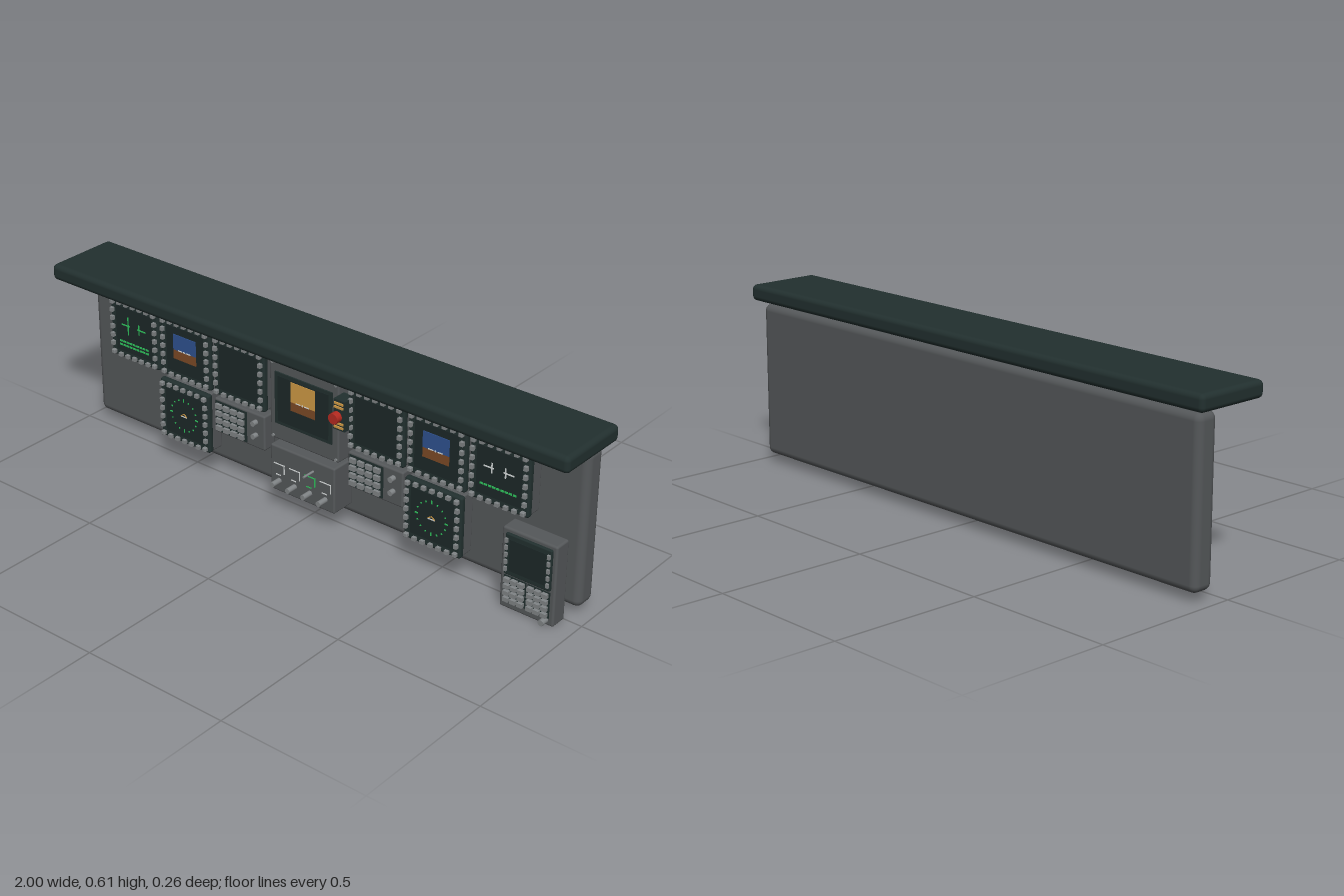
import * as THREE from 'three';
import { RoundedBoxGeometry } from 'three/addons/geometries/RoundedBoxGeometry.js';

const mat = (name, color) => Object.assign(new THREE.MeshStandardMaterial({ color }), { name });
const M = {
  gray: mat('panel gray', 0x55585a),
  dark: mat('bezel black green', 0x22302f),
  screen: mat('screen glass', 0x1c2828),
  light: mat('button gray', 0x808486),
  white: mat('symbol white', 0xd4d8d8),
  green: mat('display green', 0x2fc45c),
  blue: mat('sky blue', 0x2f5290),
  brown: mat('ground brown', 0x7c4a26),
  amber: mat('amber', 0xd09a45),
  red: mat('warning red', 0xb42a20),
};

function add(parent, name, geo, m, x, y, z) {
  const mesh = new THREE.Mesh(geo, m);
  mesh.name = name;
  mesh.position.set(x, y, z);
  parent.add(mesh);
  return mesh;
}
const box = (p, name, m, w, h, d, x, y, z) => add(p, name, new THREE.BoxGeometry(w, h, d), m, x, y, z);
const rbox = (p, name, m, w, h, d, x, y, z, r) =>
  add(p, name, new RoundedBoxGeometry(w, h, d, 3, r), m, x, y, z);
// knob with its axis along z
function knob(p, name, m, r, depth, x, y, z) {
  const k = add(p, name, new THREE.CylinderGeometry(r, r, depth, 16), m, x, y, z);
  k.rotation.x = Math.PI / 2;
  return k;
}
function group(parent, name, x, y, z) {
  const g = new THREE.Group();
  g.name = name;
  g.position.set(x, y, z);
  parent.add(g);
  return g;
}

// square display: gray housing, dark bezel, glass and a rim of buttons; z = 0 is the bezel face
function display(parent, name, x, y, z) {
  const g = group(parent, name, x, y, z);
  rbox(g, 'housing', M.gray, 0.2, 0.21, 0.047, 0, 0, -0.0425, 0.006);
  rbox(g, 'bezel', M.dark, 0.21, 0.21, 0.022, 0, 0, -0.011, 0.008);
  box(g, 'glass', M.screen, 0.158, 0.158, 0.003, 0, 0, 0.0005);
  for (let i = -2; i <= 2; i++) {
    for (const s of [-1, 1]) {
      box(g, 'sideButton', M.light, 0.012, 0.014, 0.012, s * 0.093, i * 0.03, 0.005);
      box(g, 'rowButton', M.light, 0.014, 0.012, 0.012, i * 0.03, s * 0.093, 0.005);
    }
  }
  for (const sx of [-1, 1]) for (const sy of [-1, 1])
    rbox(g, 'cornerRocker', M.light, 0.015, 0.015, 0.014, sx * 0.09, sy * 0.09, 0.006, 0.003);
  return g;
}

// artificial horizon picture
function horizon(g, sky, w, top, mid, bottom, z) {
  box(g, 'sky', sky, w, top - mid, 0.003, 0, (top + mid) / 2, z);
  box(g, 'ground', M.brown, w, mid - bottom, 0.003, 0, (mid + bottom) / 2, z);
  for (const s of [-1, 1]) box(g, 'wingMark', M.white, 0.018, 0.003, 0.002, s * 0.017, mid + 0.002, z + 0.003);
  box(g, 'noseMark', M.white, 0.005, 0.005, 0.002, 0, mid + 0.002, z + 0.003);
}

// compass rose
function compass(g) {
  for (let i = 0; i < 16; i++) {
    const a = (i * Math.PI) / 8;
    const t = box(g, 'compassTick', M.green, 0.004, i % 4 ? 0.005 : 0.011, 0.002,
      Math.sin(a) * 0.055, Math.cos(a) * 0.055, 0.004);
    t.rotation.z = -a;
  }
  for (const s of [-1, 1]) {
    const w = box(g, 'courseMark', M.amber, 0.016, 0.003, 0.002, s * 0.006, 0.002, 0.004);
    w.rotation.z = -s * 0.6;
  }
  box(g, 'courseBase', M.white, 0.026, 0.003, 0.002, 0, -0.004, 0.004);
}

// engine gauges: two crossed scales above two rows of readouts
function engine(g, scale, readouts) {
  for (const s of [-1, 1]) {
    box(g, 'gaugeArm', scale, 0.036, 0.004, 0.002, s * 0.035, 0.018, 0.004);
    box(g, 'gaugeScale', scale, 0.004, s < 0 && scale === M.green ? 0.064 : 0.034, 0.002, s * 0.024, 0.018, 0.004);
  }
  for (let r = 0; r < readouts; r++)
    for (let i = 0; i < 9; i++)
      box(g, 'readout', M.green, 0.011, 0.006, 0.002, (i - 4) * 0.0145, -0.043 - r * 0.013, 0.004);
}

function keypad(parent, x) {
  const g = group(parent, 'keypad', x, 0.242, 0.045);
  rbox(g, 'housing', M.gray, 0.21, 0.122, 0.052, 0, 0, -0.026, 0.006);
  box(g, 'keyPlate', M.dark, 0.13, 0.108, 0.003, -0.033, 0, 0.0005);
  for (let c = 0; c < 4; c++) for (let r = 0; r < 4; r++)
    box(g, 'key', M.light, 0.022, 0.016, 0.012, -0.081 + c * 0.031, 0.039 - r * 0.026, 0.006);
  for (const y of [0.032, -0.014]) knob(g, 'selectorKnob', M.light, 0.009, 0.018, 0.07, y, 0.009);
}

function handheld(parent) {
  const g = group(parent, 'cornerControlUnit', 0.845, 0, 0.06);
  rbox(g, 'housing', M.gray, 0.19, 0.272, 0.06, 0, 0.138, -0.03, 0.007);
  rbox(g, 'bezel', M.dark, 0.16, 0.138, 0.012, 0.002, 0.192, 0.003, 0.004);
  box(g, 'glass', M.screen, 0.125, 0.105, 0.003, 0.002, 0.192, 0.009);
  for (let i = -2; i <= 2; i++) for (const s of [-1, 1])
    box(g, 'sideButton', M.light, 0.009, 0.014, 0.008, 0.002 + s * 0.073, 0.192 + i * 0.024, 0.012);
  // two blocks of keys
  for (const s of [-1, 1]) {
    box(g, 'keyPlate', M.dark, 0.078, 0.088, 0.003, s * 0.041, 0.072, 0.0005);
    for (let c = -1; c <= 1; c++) for (let r = 0; r < 4; r++)
      box(g, 'key', M.light, 0.019, 0.014, 0.015, s * 0.041 + c * 0.025, 0.105 - r * 0.022, 0.007);
  }
  knob(g, 'dimmerKnob', M.light, 0.01, 0.026, 0.068, 0.02, 0.012);
}

export function createModel() {
  const root = new THREE.Group();
  root.name = 'instrumentPanel';

  rbox(root, 'glareShield', M.dark, 2, 0.054, 0.26, 0, 0.587, 0, 0.016);
  rbox(root, 'backPanel', M.gray, 1.94, 0.52, 0.078, 0, 0.29, -0.066, 0.024);

  // mirrored displays and keypads
  for (const s of [-1, 1]) {
    engine(display(root, 'engineDisplay', s * 0.72, 0.421, 0.045), s < 0 ? M.green : M.white, s < 0 ? 2 : 1);
    horizon(display(root, 'attitudeDisplay', s * 0.497, 0.421, 0.045), M.blue, 0.096, 0.054, 0, -0.032, 0.003);
    display(root, 'blankDisplay', s * 0.272, 0.421, 0.045);
    compass(display(root, 'compassDisplay', s * 0.497, 0.2, 0.057));
    keypad(root, s * 0.272);
  }

  // central display
  const c = group(root, 'centralDisplay', 0, 0.387, 0.05);
  rbox(c, 'housing', M.gray, 0.272, 0.276, 0.078, -0.002, 0, -0.039, 0.006);
  box(c, 'screenFrame', M.dark, 0.226, 0.178, 0.006, -0.002, 0.01, 0.002);
  box(c, 'glass', M.screen, 0.2, 0.156, 0.003, -0.002, 0.01, 0.005);
  horizon(c, M.amber, 0.096, 0.084, 0.016, -0.014, 0.007);
  for (const sx of [-1, 1]) for (const sy of [-1, 1])
    knob(c, 'screw', M.light, 0.005, 0.006, sx * 0.125, sy * 0.128, 0.002);

  // central switch box
  const sw = group(root, 'switchBox', -0.002, 0.15, 0.06);
  rbox(sw, 'housing', M.gray, 0.258, 0.16, 0.088, 0, 0, -0.044, 0.006);
  for (let i = 0; i < 4; i++) {
    const x = -0.092 + i * 0.062;
    const m = i === 2 ? M.green : M.white;
    box(sw, 'legendLine', m, 0.044, 0.003, 0.002, x, 0.018, 0.001);
    box(sw, 'legendTick', m, 0.003, 0.032, 0.002, x + 0.02, 0.004, 0.001);
    box(sw, 'legendFoot', m, 0.02, 0.003, 0.002, x - 0.004, -0.02, 0.001);
    knob(sw, 'rotarySwitch', M.light, 0.009, 0.037, x, -0.04, 0.0185);
  }
  knob(sw, 'lever', M.light, 0.004, 0.047, 0.045, 0.042, 0.0235);

  // warning light block
  const w = group(root, 'warningBlock', 0.157, 0.435, 0.077);
  box(w, 'block', M.dark, 0.044, 0.102, 0.05, 0, 0, -0.025);
  for (const y of [0.04, 0.027, -0.027, -0.04])
    box(w, 'cautionBar', M.amber, 0.034, 0.007, 0.004, 0, y, 0.002);
  knob(w, 'warningButton', M.red, 0.018, 0.022, 0, 0, 0.019);
  knob(w, 'buttonStem', M.dark, 0.006, 0.012, 0, 0, 0.005);

  handheld(root);
  return root;
}
